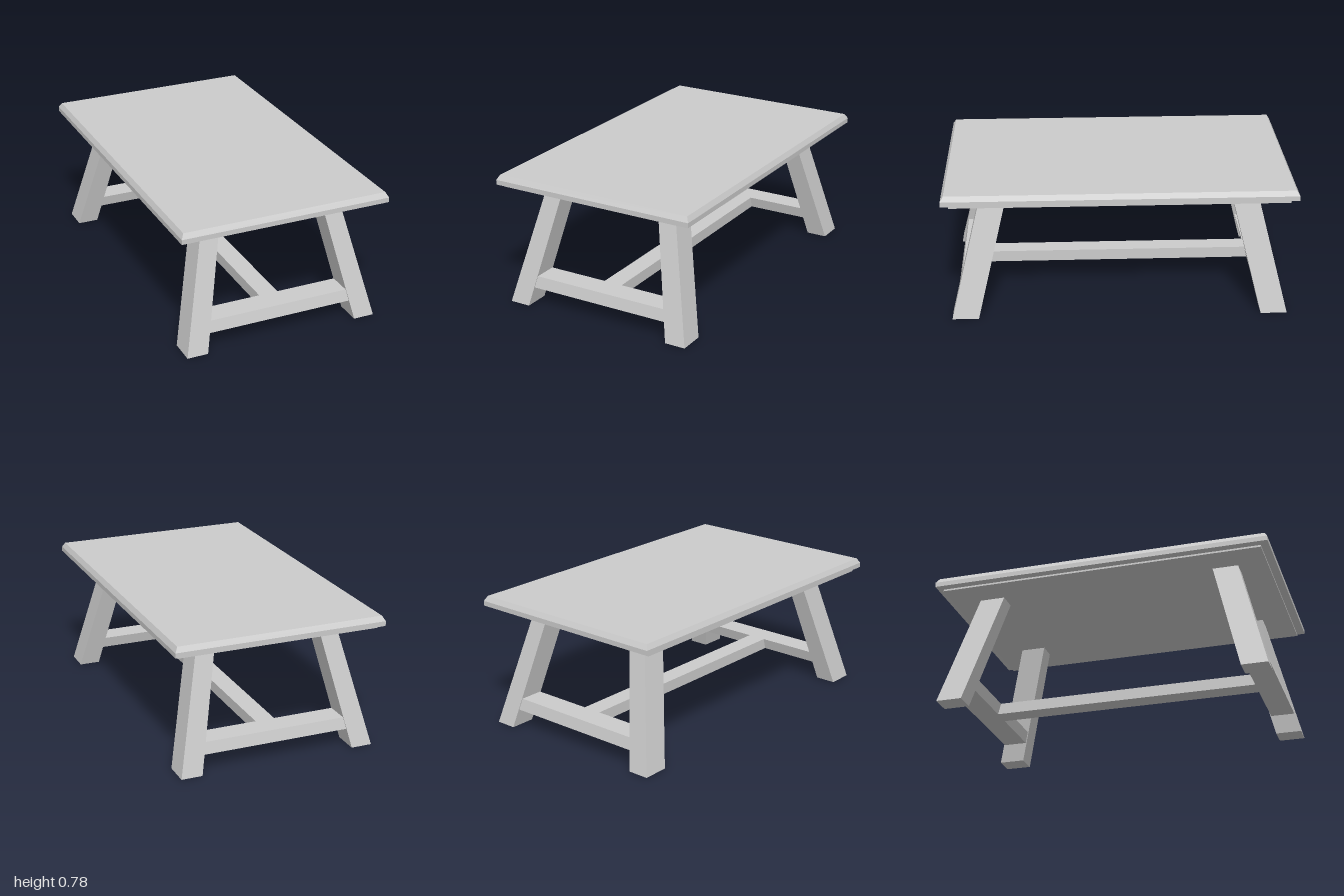
import * as THREE from 'three';

const material = new THREE.MeshStandardMaterial({ color: 0xcccccc, flatShading: true });

// Solid stacked from rectangles, bottom to top: [y, xMin, xMax, zMin, zMax]
function loft(name, sections) {
  const rings = sections.map(([y, x0, x1, z0, z1]) => [
    [x0, y, z1], [x1, y, z1], [x1, y, z0], [x0, y, z0],
  ]);
  const positions = [];
  const quad = (a, b, c, d) => positions.push(...a, ...b, ...c, ...a, ...c, ...d);
  for (let i = 0; i < rings.length - 1; i++) {
    const low = rings[i], high = rings[i + 1];
    for (let k = 0; k < 4; k++) {
      const n = (k + 1) % 4;
      quad(low[k], low[n], high[n], high[k]);
    }
  }
  const first = rings[0], last = rings[rings.length - 1];
  quad(first[3], first[2], first[1], first[0]);
  quad(last[0], last[1], last[2], last[3]);
  const geometry = new THREE.BufferGeometry();
  geometry.setAttribute('position', new THREE.Float32BufferAttribute(positions, 3));
  geometry.computeVertexNormals();
  const mesh = new THREE.Mesh(geometry, material);
  mesh.name = name;
  return mesh;
}

// Range [a, b] mirrored to the chosen side, smallest first
const side = (s, a, b) => (s > 0 ? [a, b] : [-b, -a]);

export function createModel() {
  const table = new THREE.Group();
  table.name = 'table';

  const underside = 0.703;
  const barLow = 0.108, barHigh = 0.175;

  // Tabletop with bevelled rim and a small step underneath
  const rim = [
    [underside, 0.593, 0.957], [0.714, 0.593, 0.957], [0.725, 0.62, 1],
    [0.753, 0.62, 1], [0.782, 0.604, 0.982],
  ];
  table.add(loft('tabletop', rim.map(([y, x, z]) => [y, -x, x, -z, z])));

  // Leg faces at height y
  const at = (y, low, high) => THREE.MathUtils.lerp(low, high, y / underside);
  const legInnerX = (y) => at(y, 0.457, 0.309);
  const legOuterX = (y) => at(y, 0.58, 0.418);
  const legInnerZ = (y) => at(y, 0.815, 0.64);
  const legOuterZ = (y) => at(y, 0.967, 0.79);

  // Four legs splayed outwards both ways
  for (const sx of [1, -1]) {
    for (const sz of [1, -1]) {
      const name = (sz > 0 ? 'front' : 'back') + (sx > 0 ? 'Left' : 'Right') + 'Leg';
      table.add(loft(name, [0, underside].map((y) => [
        y,
        ...side(sx, legInnerX(y), legOuterX(y)),
        ...side(sz, legInnerZ(y), legOuterZ(y)),
      ])));
    }
  }

  // Cross bars joining each pair of legs, leaning with them
  const inset = 0.005;
  for (const sz of [1, -1]) {
    table.add(loft(sz > 0 ? 'frontCrossBar' : 'backCrossBar', [barLow, barHigh].map((y) => {
      const x = legInnerX(y) + 0.02;
      return [y, -x, x, ...side(sz, legInnerZ(y) + inset, legOuterZ(y) - inset)];
    })));
  }

  // Long stretcher between the cross bars
  table.add(loft('stretcher', [barLow, barHigh].map((y) => {
    const z = legInnerZ(y) + inset;
    return [y, -0.057, 0.057, -z, z];
  })));

  return table;
}
